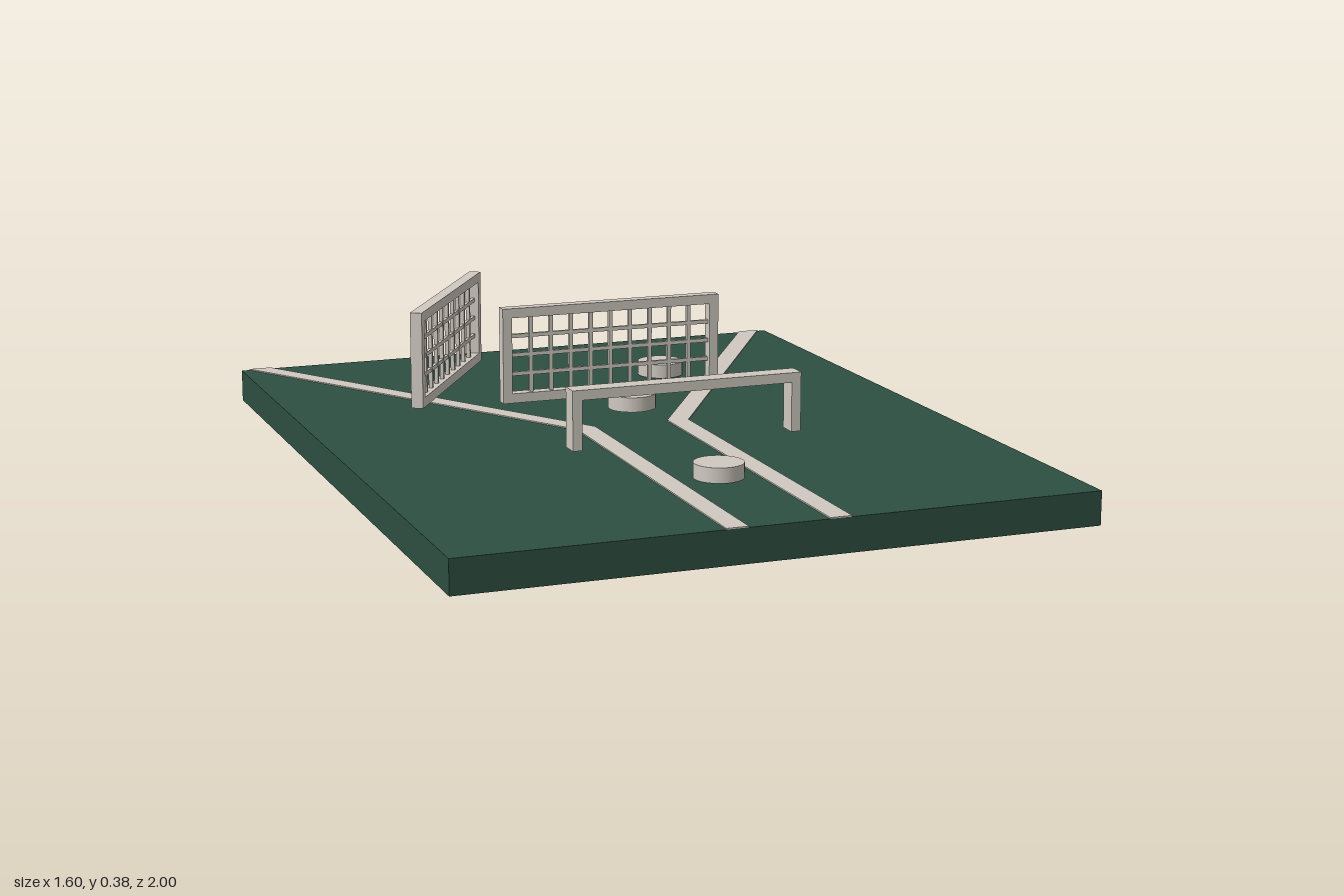
import * as THREE from 'three';

export function createModel() {
  const green = new THREE.MeshStandardMaterial({ color: 0x2d4f41 });
  green.name = 'boardGreen';
  const cream = new THREE.MeshStandardMaterial({ color: 0xcfc9c0 });
  cream.name = 'warmCream';

  const model = new THREE.Group();
  model.name = 'fieldBoard';
  const boardTop = 0.085, lineTop = 0.088, pieceBase = 0.132;

  const add = (parent, name, geometry, material, x, y, z) => {
    const mesh = new THREE.Mesh(geometry, material);
    mesh.name = name;
    mesh.position.set(x, y, z);
    parent.add(mesh);
    return mesh;
  };
  const box = (parent, name, w, h, d, x, y, z, material = cream) =>
    add(parent, name, new THREE.BoxGeometry(w, h, d), material, x, y, z);

  // Base board
  box(model, 'board', 1.6, boardTop, 2, 0, boardTop / 2, 0, green);

  // Painted lines: straight lane that splays out towards the back edge
  for (const s of [-1, 1]) {
    const points = [
      [0.1, 1], [0.154, 1], [0.154, 0], [0.778, -1], [0.718, -1], [0.1, -0.012],
    ].map(([x, z]) => new THREE.Vector2(s * x, -z));
    const geometry = new THREE.ExtrudeGeometry(new THREE.Shape(points), {
      depth: lineTop - boardTop, bevelEnabled: false,
    });
    geometry.rotateX(-Math.PI / 2);
    add(model, s < 0 ? 'rightLine' : 'leftLine', geometry, cream, 0, boardTop, 0);
  }

  // Round discs, one raised and two resting on the board
  const disc = new THREE.CylinderGeometry(0.062, 0.062, 0.038, 32);
  add(model, 'frontDisc', disc, cream, 0, 0.108, 0.58);
  add(model, 'middleDisc', disc, cream, 0, 0.151, -0.008);
  add(model, 'backDisc', disc, cream, 0.282, 0.108, -0.533);

  // Low hurdle: two legs and a crossbar
  const hurdle = new THREE.Group();
  hurdle.name = 'hurdle';
  hurdle.position.set(0, pieceBase, 0.36);
  model.add(hurdle);
  box(hurdle, 'crossbar', 0.6, 0.025, 0.05, 0, 0.1375, 0);
  for (const s of [-1, 1]) box(hurdle, 'leg', 0.025, 0.125, 0.05, s * 0.2875, 0.0625, 0);

  // Lattice fence: open frame filled with a square grid
  const addFence = (name, x, z, angle) => {
    const fence = new THREE.Group();
    fence.name = name;
    fence.position.set(x, pieceBase, z);
    fence.rotation.y = angle;
    model.add(fence);
    const w = 0.6, h = 0.25, t = 0.025, depth = 0.031, bar = 0.01;
    const innerW = w - 2 * t, innerH = h - 2 * t;
    for (const s of [-1, 1]) {
      box(fence, 'post', t, h, depth, s * (w - t) / 2, h / 2, 0);
      box(fence, 'rail', innerW, t, depth, 0, h / 2 + s * (h - t) / 2, 0);
    }
    for (let i = 1; i < 10; i++)
      box(fence, 'uprightBar', bar, innerH, bar, -innerW / 2 + i * innerW / 10, h / 2, 0);
    for (let i = 1; i < 4; i++)
      box(fence, 'crossBar', innerW, bar, bar * 0.9, 0, t + i * innerH / 4, 0);
  };
  addFence('middleFence', 0, -0.17, 0);
  addFence('angledFence', -0.364, -0.441, THREE.MathUtils.degToRad(58));

  return model;
}
